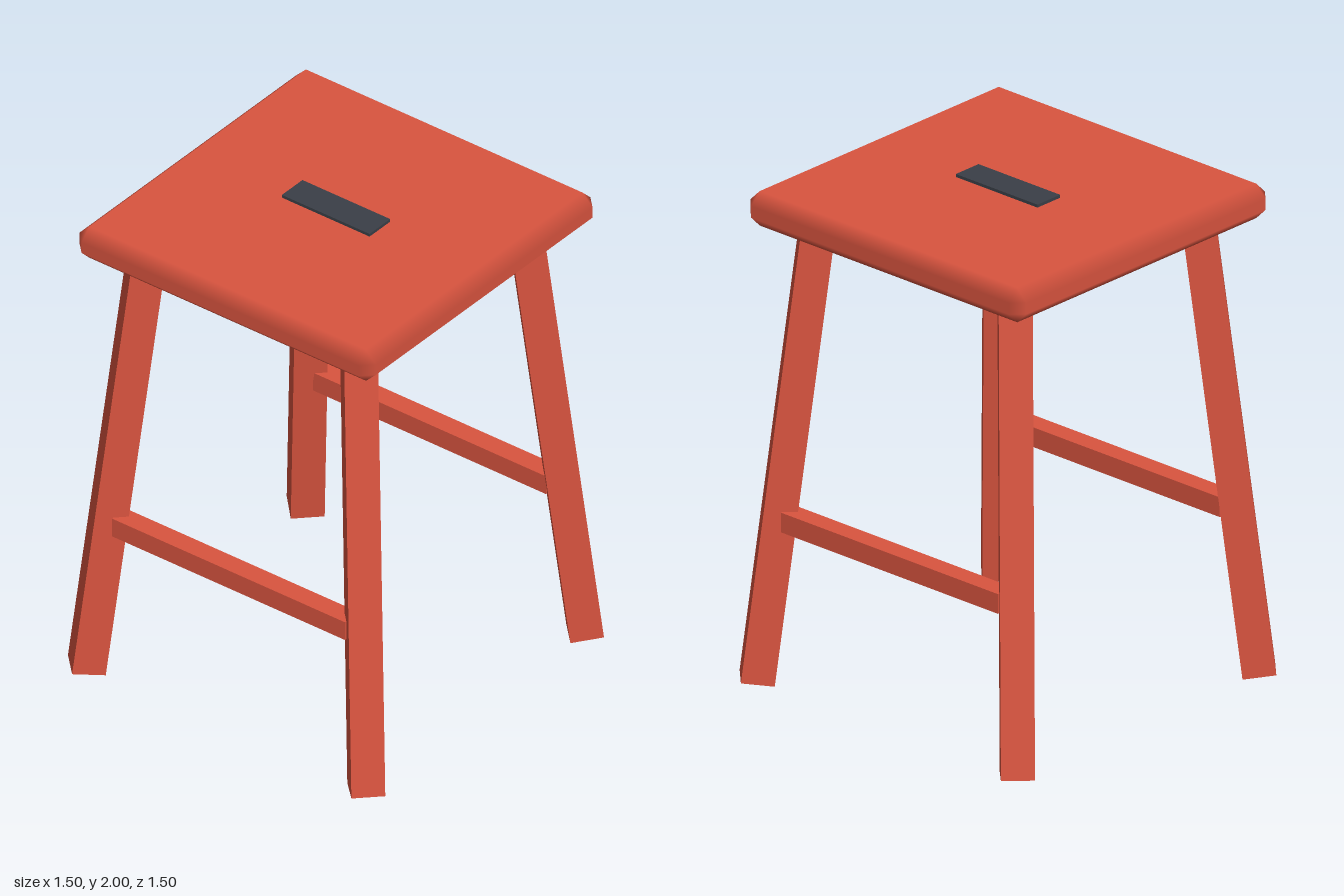
import * as THREE from 'three';
import { ConvexGeometry } from 'three/addons/geometries/ConvexGeometry.js';

const red = new THREE.MeshStandardMaterial({ color: 0xd9543f });
const dark = new THREE.MeshStandardMaterial({ color: 0x3a3f47 });

function addBox(parent, name, material, size, position) {
  const mesh = new THREE.Mesh(new THREE.BoxGeometry(...size), material);
  mesh.name = name;
  mesh.position.set(...position);
  parent.add(mesh);
  return mesh;
}

// Box with chamfered edges; normals follow the flat faces so the chamfers shade softly.
function chamferedBox(width, height, depth, bevel) {
  const half = [width / 2, height / 2, depth / 2];
  const points = [];
  for (let axis = 0; axis < 3; axis++)
    for (const sx of [-1, 1]) for (const sy of [-1, 1]) for (const sz of [-1, 1]) {
      const p = [sx, sy, sz].map((s, i) => s * (half[i] - (i === axis ? 0 : bevel)));
      points.push(new THREE.Vector3(...p));
    }
  const geometry = new ConvexGeometry(points);
  const { position, normal } = geometry.attributes;
  for (let i = 0; i < position.count; i++) {
    const p = [position.getX(i), position.getY(i), position.getZ(i)];
    normal.setXYZ(i, ...p.map((v, k) => (Math.abs(v) > half[k] - 1e-4 ? Math.sign(v) : 0)));
  }
  return geometry;
}

export function createModel() {
  const stool = new THREE.Group();
  stool.name = 'stool';

  // Seat and the dark hand slot on top of it
  const seat = new THREE.Mesh(chamferedBox(1.4, 0.14, 1.4, 0.047), red);
  seat.name = 'seat';
  seat.position.y = 1.918;
  stool.add(seat);
  addBox(stool, 'handSlot', dark, [0.414, 0.03, 0.124], [0, 1.985, 0]);

  // Four square legs, turned to the diagonals and splayed outwards
  const thick = 0.127, length = 1.92, splay = 0.1216;
  const legGeometry = new THREE.BoxGeometry(thick, length, thick).translate(0, length / 2, 0);
  const names = ['frontLeftLeg', 'backLeftLeg', 'backRightLeg', 'frontRightLeg'];
  names.forEach((name, k) => {
    const pivot = new THREE.Group();
    pivot.name = name;
    pivot.rotation.y = Math.PI / 4 + k * Math.PI / 2;
    const leg = new THREE.Mesh(legGeometry, red);
    leg.name = name + 'Post';
    leg.position.set(0, thick / 2 * Math.sin(splay), 0.933);
    leg.rotation.x = -splay;
    pivot.add(leg);
    stool.add(pivot);
  });

  // Stretchers between the legs at front and back
  for (const side of [1, -1])
    addBox(stool, side > 0 ? 'frontStretcher' : 'backStretcher', red, [1.1, 0.08, 0.084], [0, 0.67, side * 0.606]);

  return stool;
}
